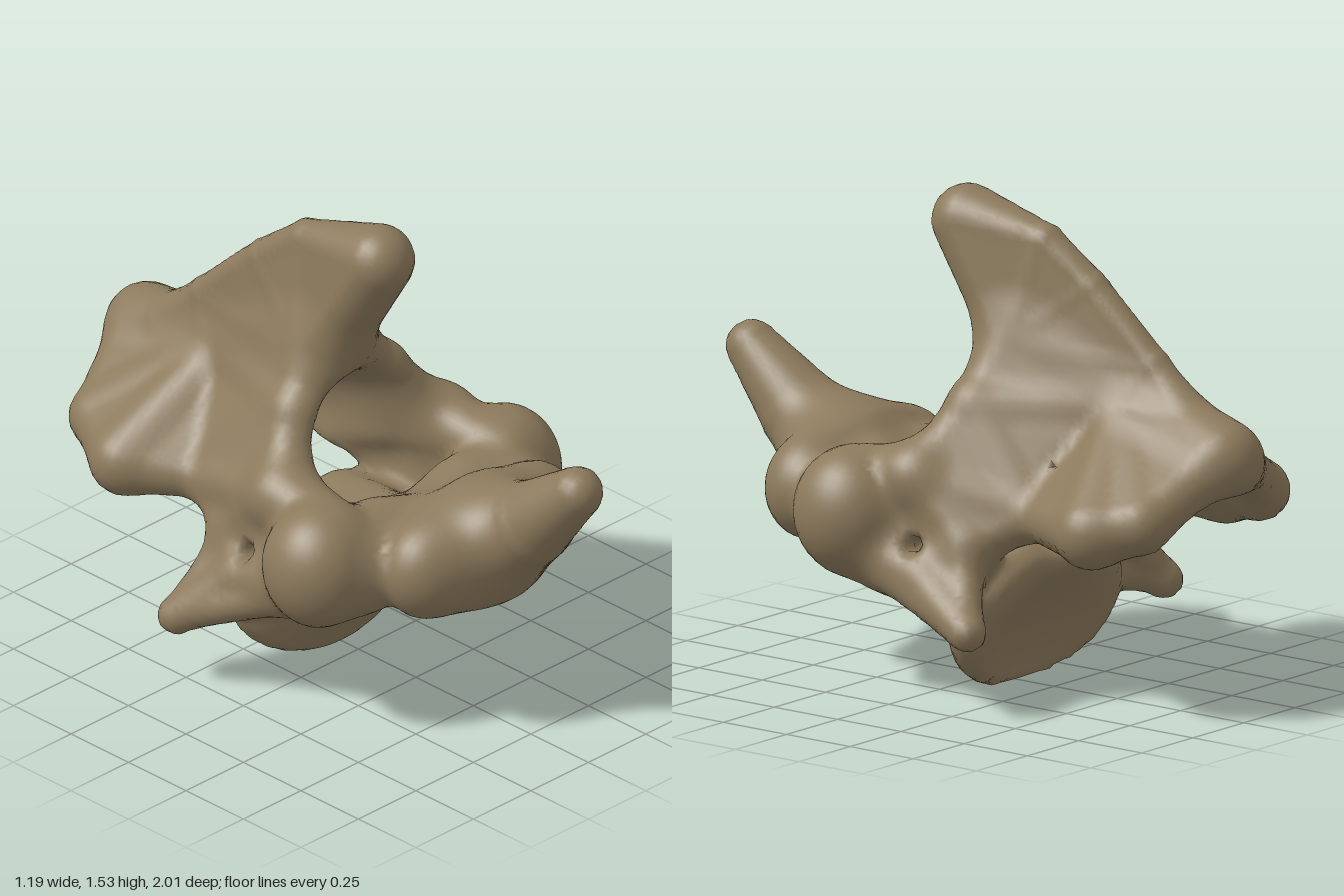
import * as THREE from 'three';

const V = (x, y, z) => new THREE.Vector3(x, y, z);
const tmp = V(0, 0, 0), bary = V(0, 0, 0);

// Rounded solids, each a signed distance function of a point.
function limb(a, b, ra, rb, sx = 1, sy = 1, sz = 1) { // tapered capsule, optionally squashed
  const s = V(sx, sy, sz), A = a.clone().divide(s), D = b.clone().divide(s).sub(A), L = D.lengthSq();
  const k = Math.min(sx, sy, sz);
  return p => {
    tmp.copy(p).divide(s).sub(A);
    const t = Math.min(1, Math.max(0, tmp.dot(D) / L));
    return (tmp.addScaledVector(D, -t).length() - ra - (rb - ra) * t) * k;
  };
}
function knob(c, r) { // ellipsoid
  return p => {
    tmp.copy(p).sub(c).divide(r);
    const k0 = tmp.length(), k1 = tmp.divide(r).length();
    return k1 < 1e-6 ? -Math.min(r.x, r.y, r.z) : k0 * (k0 - 1) / k1;
  };
}
function sheet(a, b, c) { // triangular plate; each corner is [point, half thickness]
  const tri = new THREE.Triangle(a[0], b[0], c[0]);
  return p => {
    tri.closestPointToPoint(p, tmp);
    const d = tmp.distanceTo(p);
    tri.getBarycoord(tmp, bary);
    return d - bary.x * a[1] - bary.y * b[1] - bary.z * c[1];
  };
}
function smin(a, b, k) {
  const h = Math.max(k - Math.abs(a - b), 0) / k;
  return Math.min(a, b) - h * h * k * 0.25;
}
const smax = (a, b, k) => -smin(-a, -b, k);
const join = (list, k = 0.001) => p => {
  let d = 10;
  for (const f of list) d = smin(d, f(p), k);
  return d;
};
const both = fn => [-1, 1].flatMap(fn);

function defineParts() {
  // Crest of the spine, its foot, and the rear tip
  const C0 = [V(-0.015, 1.45, 0.1), 0.115], C1 = [V(-0.03, 1.42, -0.19), 0.06];
  const C2 = [V(-0.05, 1.295, -0.36), 0.055], C3 = [V(-0.065, 1.08, -0.59), 0.055];
  const C4 = [V(-0.065, 0.93, -0.75), 0.06];
  const S1 = [V(-0.025, 1.1, -0.115), 0.12], S2 = [V(-0.05, 0.92, -0.5), 0.085];
  const R = [V(-0.03, 0.835, -0.885), 0.105];
  const spine = join([
    sheet(C0, C1, S1), sheet(C1, C2, S1), sheet(C2, C3, S1), sheet(C3, S2, S1),
    sheet(C3, C4, S2), sheet(C4, R, S2),
  ], 0.01);

  // Roof plates flaring from the foot of the spine to the rear wings
  const laminae = join(both(s => {
    const M = [V(s * 0.18 - 0.01, 0.92, -0.08), 0.085];
    const P = [V(s * 0.34, 0.71, 0.0), 0.085], P2 = [V(s * 0.265 - 0.045, 0.625, -0.35), 0.07];
    const W1 = [V(s * 0.365 - 0.055, 0.635, s > 0 ? -0.65 : -0.59), 0.11];
    const W2 = [V(s * 0.29 - 0.045, 0.67, -0.79), 0.09];
    const Q = [V(s * 0.35, 0.44, 0.1), 0.09], Q2 = [V(s * 0.34, 0.54, -0.19), 0.075];
    return [
      sheet(S1, M, S2), sheet(M, P, P2), sheet(M, P2, S2), sheet(S2, P2, W1), sheet(S2, W1, W2),
      sheet(S2, W2, R), sheet(P, Q, Q2), sheet(P, P2, Q2),
    ];
  }), 0.03);

  // Rounded body with an oblique, dished rear end
  const trunk = limb(V(0, 0.47, 0.1), V(0, 0.28, -0.165), 0.13, 0.275, 1.37, 1, 0.78);
  const n = V(0, -0.35, -0.937), mid = V(0, 0.15, -0.205);
  const dish = mid.clone().addScaledVector(n, 0.54);
  const body = p => {
    const flat = (p.x - mid.x) * n.x + (p.y - mid.y) * n.y + (p.z - mid.z) * n.z;
    return smax(smax(trunk(p), flat, 0.04), 0.6 - p.distanceTo(dish), 0.03);
  };

  const transverse = join(both(s => {
    const tip = s > 0 ? V(0.5, 0.3, -0.31) : V(-0.54, 0.265, -0.25);
    const knee = V(s * 0.42, 0.42, -0.08);
    return [
      limb(V(s * 0.4, 0.5, 0.2), knee, 0.1, 0.085), limb(knee, tip, 0.085, 0.058),
      sheet([V(s * 0.4, 0.46, 0.15), 0.07], [V(s * 0.3, 0.36, -0.05), 0.08], [tip, 0.05]),
      sheet([knee, 0.07], [V(s * 0.36, 0.5, -0.18), 0.06], [tip, 0.05]),
    ];
  }), 0.02);

  return [
    { name: 'body', d: body, k: 0.05 },
    { name: 'shoulder', k: 0.08, d: join([
      limb(V(-0.32, 0.58, 0.3), V(0.32, 0.58, 0.3), 0.165, 0.165),
      ...both(s => limb(V(s * 0.36, 0.68, 0.27), V(s * 0.34, 0.72, 0.03), 0.1, 0.1))], 0.03) },
    { name: 'frontFacets', k: 0.04, d: limb(V(-0.185, 0.6, 0.5), V(0.255, 0.6, 0.49), 0.17, 0.17, 1, 1, 0.85) },
    { name: 'frontPeg', k: 0.14, d: join([
      limb(V(0.035, 0.935, 0.915), V(0.025, 0.75, 0.72), 0.083, 0.135),
      limb(V(0.025, 0.75, 0.72), V(0.025, 0.63, 0.55), 0.135, 0.18)]) },
    { name: 'sideLobes', k: 0.03, d: join(both(s =>
      knob(V(s * 0.42, 0.595, s > 0 ? 0.215 : 0.25), V(0.175, 0.2, 0.18)))) },
    { name: 'transverseProcesses', d: transverse, k: 0.06 },
    { name: 'laminae', d: laminae, k: 0.08 },
    { name: 'spine', d: spine, k: 0.1 },
  ];
}

export function createModel() {
  const parts = defineParts();
  // Central canal and the small side openings
  const canal = join([
    limb(V(0, 0.88, 0.2), V(-0.01, 0.73, -0.1), 0.19, 0.215),
    limb(V(-0.01, 0.73, -0.1), V(-0.04, 0.5, -0.95), 0.215, 0.21),
  ]);
  const foramina = join(both(s => limb(V(s * 0.55, 0.54, -0.06), V(s * 0.38, 0.52, -0.04), 0.025, 0.025)));
  const field = p => {
    let d = 10;
    for (const part of parts) d = smin(d, part.d(p), part.k);
    return smax(smax(d, -canal(p), 0.06), -foramina(p), 0.03);
  };

  // Sample the field on a grid
  const h = 0.025, o = [-0.71, -0.06, -1.07], N = [58, 69, 87];
  const step = [1, N[0], N[0] * N[1]], grid = new Float32Array(N[0] * N[1] * N[2]);
  const p = V(0, 0, 0);
  const each = (from, fn) => {
    for (let k = from; k < N[2] - 1; k++) for (let j = from; j < N[1] - 1; j++)
      for (let i = from; i < N[0] - 1; i++) fn(i, j, k, i + j * step[1] + k * step[2]);
  };
  grid.fill(1);
  each(0, (i, j, k, id) => { grid[id] = field(p.set(o[0] + i * h, o[1] + j * h, o[2] + k * h)); });

  // One skin point in every cell the surface crosses
  const index = new Map(), pos = [], nor = [], owner = [];
  each(0, (i, j, k, id) => {
    const sum = V(0, 0, 0);
    let count = 0;
    for (let c = 0; c < 8; c++) for (let a = 0; a < 3; a++) {
      if (c >> a & 1) continue;
      const u = [c & 1, c >> 1 & 1, c >> 2 & 1];
      const g = id + u[0] * step[0] + u[1] * step[1] + u[2] * step[2];
      const f0 = grid[g], f1 = grid[g + step[a]];
      if ((f0 < 0) === (f1 < 0)) continue;
      u[a] += f0 / (f0 - f1);
      sum.add(tmp.set(u[0], u[1], u[2]));
      count++;
    }
    if (!count) return;
    sum.divideScalar(count).add(tmp.set(i, j, k)).multiplyScalar(h).add(tmp.set(o[0], o[1], o[2]));
    const e = 0.015, n = V(0, 0, 0);
    for (const ax of ['x', 'y', 'z']) {
      p.copy(sum)[ax] += e;
      n[ax] = field(p);
      p[ax] -= 2 * e;
      n[ax] -= field(p);
    }
    n.normalize();
    const ds = parts.map(q => q.d(sum));
    index.set(id, owner.length);
    owner.push(ds.indexOf(Math.min(...ds)));
    pos.push(sum.x, sum.y, sum.z);
    nor.push(n.x, n.y, n.z);
  });

  // Join the points into faces, sorted by the part they belong to
  const faces = parts.map(() => []);
  each(1, (i, j, k, id) => {
    for (let a = 0; a < 3; a++) {
      const inside = grid[id] < 0;
      if (inside === grid[id + step[a]] < 0) continue;
      const b = step[(a + 1) % 3], c = step[(a + 2) % 3];
      const q = [id - b - c, id - c, id, id - b].map(v => index.get(v));
      if (!inside) q.reverse();
      faces[owner[q[0]]].push(q[0], q[1], q[2], q[0], q[2], q[3]);
    }
  });

  const bone = new THREE.MeshStandardMaterial({ color: 0x8c7a5c });
  bone.name = 'bone';
  const group = new THREE.Group();
  group.name = 'vertebra';
  parts.forEach((part, n) => {
    const geo = new THREE.BufferGeometry(), list = faces[n];
    const pick = src => new THREE.Float32BufferAttribute(list.flatMap(v => src.slice(v * 3, v * 3 + 3)), 3);
    geo.setAttribute('position', pick(pos));
    geo.setAttribute('normal', pick(nor));
    const mesh = new THREE.Mesh(geo, bone);
    mesh.name = part.name;
    group.add(mesh);
  });
  return group;
}
